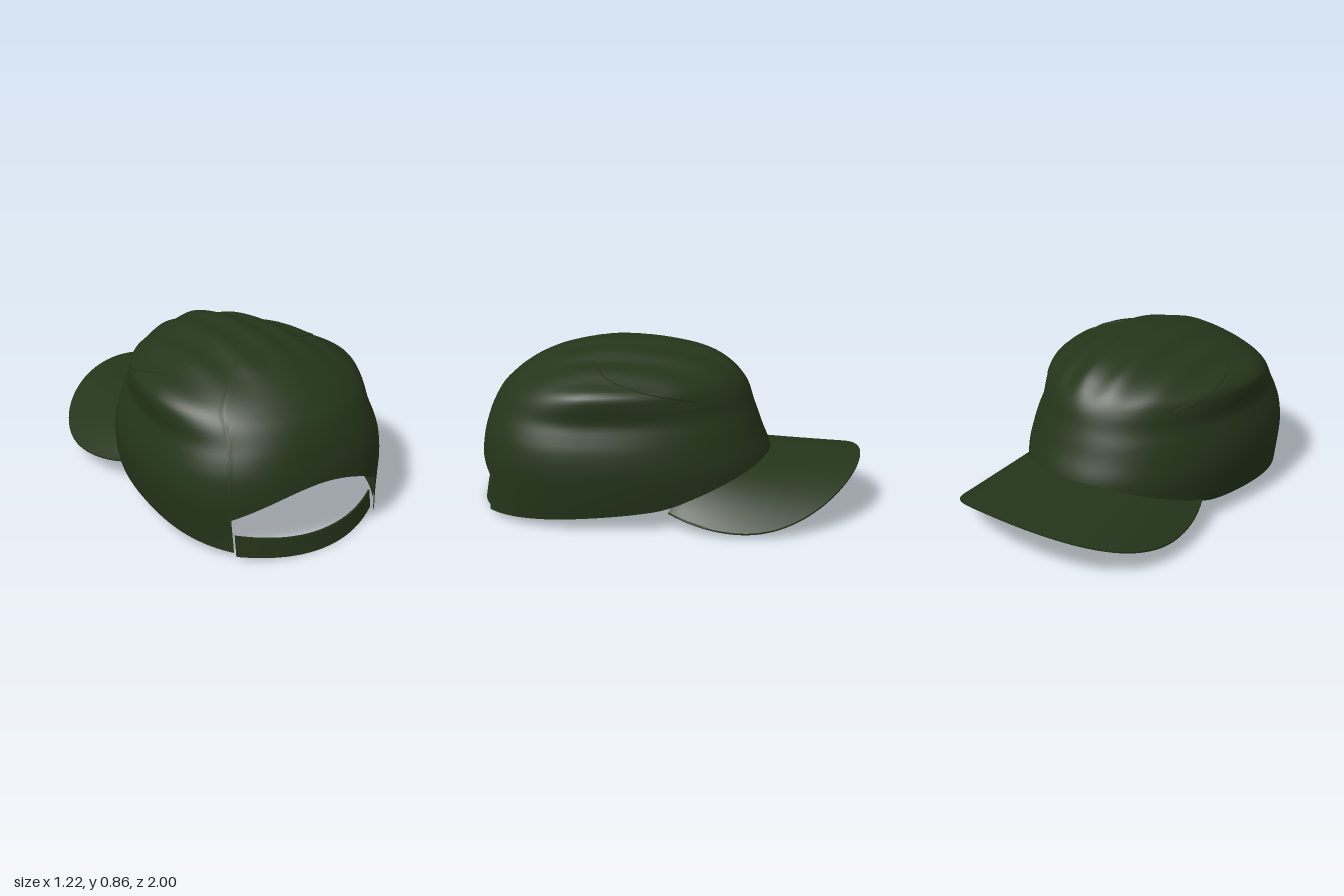
import * as THREE from 'three';
import { mergeVertices, toCreasedNormals } from 'three/addons/utils/BufferGeometryUtils.js';

const { lerp, clamp, smoothstep } = THREE.MathUtils;
const cloth = new THREE.MeshStandardMaterial({ color: 0x24351a, side: THREE.DoubleSide });

// Crown sections from bottom to top: height, half width, front z, back z
const SECTIONS = [
  [0, 0.56, -0.57, 1.02], [0.1, 0.58, -0.56, 1.0], [0.2, 0.595, -0.545, 0.99],
  [0.3, 0.603, -0.53, 0.985], [0.4, 0.592, -0.49, 0.97], [0.47, 0.572, -0.465, 0.95],
  [0.54, 0.553, -0.44, 0.925], [0.62, 0.562, -0.415, 0.88], [0.675, 0.553, -0.385, 0.825],
  [0.72, 0.49, -0.345, 0.77], [0.77, 0.375, -0.28, 0.69], [0.81, 0.27, -0.19, 0.6],
  [0.845, 0.16, -0.04, 0.45], [0.857, 0.08, 0.08, 0.32], [0.86, 0, 0.2, 0.2],
];
const LAST = SECTIONS.length - 1;

// Smooth interpolation of one column of the section table
function column(s, c) {
  const i = Math.min(Math.floor(s), LAST - 1), t = s - i;
  const at = (k) => SECTIONS[clamp(k, 0, LAST)][c];
  const a = at(i - 1), b = at(i), d = at(i + 1), e = at(i + 2);
  return b + 0.5 * t * (d - a + t * (2 * a - 5 * b + 4 * d - e + t * (3 * (b - d) + e - a)));
}

// Point on the crown: egg-shaped outline at section s, rounder towards the top,
// with soft folds on the roof
function crownPoint(angle, s, scale = 1) {
  const [y, w, front, back] = [0, 1, 2, 3].map((c) => column(s, c));
  const c = Math.cos(angle), n = Math.sin(angle);
  const p = 2 / lerp(n > 0 ? 2.3 : 2.15, 1.85, smoothstep(y, 0.45, 0.72));
  const zc = front + 0.6 * (back - front);
  const x = w * Math.sign(c) * Math.abs(c) ** p * scale;
  const z = zc + (n > 0 ? back - zc : zc - front) * Math.sign(n) * Math.abs(n) ** p * scale;
  const fold = Math.cos(2 * Math.PI * (x + 0.15) / 0.18) * 0.008
    * smoothstep(y, 0.6, 0.8) * smoothstep(-z, -0.75, -0.25);
  return new THREE.Vector3(x - 0.008, y + fold, z);
}

// Section index at a given height
function sectionAt(y) {
  let lo = 0, hi = LAST;
  for (let k = 0; k < 25; k++) {
    const m = (lo + hi) / 2;
    if (column(m, 0) < y) lo = m; else hi = m;
  }
  return lo;
}

// Lower edge of the crown, with the arched opening at the back
function rimHeight(angle) {
  const { x, z } = crownPoint(angle, 1.5);
  if (z > 0.4 && x > -0.45 && x < 0.37) return 0.35 - 0.15 * ((x + 0.04) / 0.41) ** 2;
  if (z > 0) return lerp(0.11, 0.025, Math.min(z / 0.9, 1) ** 0.8);
  return 0.11 + 0.175 * Math.min(-z / 0.53, 1) ** 1.1;
}
const rimSection = (angle, lift = 0) => sectionAt(rimHeight(angle) + lift);

// Surface from a rule over u, v in 0..1
function surface(nu, nv, rule) {
  const pos = [], index = [];
  for (let i = 0; i <= nu; i++) {
    for (let j = 0; j <= nv; j++) {
      pos.push(...rule(i / nu, j / nv).toArray());
      if (i < nu && j < nv) {
        const a = i * (nv + 1) + j, b = a + nv + 1;
        index.push(a, a + 1, b, b, a + 1, b + 1);
      }
    }
  }
  const g = new THREE.BufferGeometry();
  g.setAttribute('position', new THREE.Float32BufferAttribute(pos, 3));
  g.setIndex(index);
  const merged = mergeVertices(g, 1e-5);
  merged.computeVertexNormals();
  return merged;
}

// Closed slab: the rule gives its upper face, the lower face is offset
function slab(nu, nv, rule, offset) {
  const g = surface(nu, 2 * nv + 2, (u, t) => {
    const k = Math.round(t * (2 * nv + 2));
    if (k <= nv) return rule(u, k / nv);
    return rule(u, Math.max(0, (2 * nv + 1 - k) / nv)).add(k === 2 * nv + 2 ? new THREE.Vector3() : offset);
  });
  return toCreasedNormals(g, 0.7);
}

// Height of the curved-down visor at a given x
const visorHeight = (x) => 0.285 - (x > 0 ? 0.68 : 0.51) * x * x;

export function createModel() {
  const group = new THREE.Group();
  const add = (name, geometry) => {
    const mesh = new THREE.Mesh(geometry, cloth);
    mesh.name = name;
    group.add(mesh);
  };

  // Crown
  add('crown', surface(240, 48, (u, v) => {
    const angle = u * 2 * Math.PI;
    return crownPoint(angle, lerp(rimSection(angle), LAST, v));
  }));

  // Sweatband inside the lower edge, from one side of the opening round to the other
  add('sweatband', surface(100, 4, (u, v) => {
    const angle = lerp(Math.PI * 0.77, Math.PI * 2.24, u);
    return crownPoint(angle, rimSection(angle, 0.005 + 0.11 * v), 0.985);
  }));

  // Visor: from the crown's front edge out to a rounded outline
  add('visor', slab(80, 14, (u, v) => {
    const inAngle = lerp(Math.PI * 1.145, Math.PI * 1.855, u);
    const inner = crownPoint(inAngle, rimSection(inAngle, 0.01), 0.985);
    const a = lerp(Math.PI * 1.17, -Math.PI * 0.17, u);
    const n = Math.sin(a);
    const x = 0.608 * Math.cos(a), z = -0.4 - (n > 0 ? 0.6 : 0.72) * n;
    const p = new THREE.Vector3(lerp(inner.x, x, v), 0, lerp(inner.z, z, v));
    p.y = visorHeight(p.x) + (inner.y - visorHeight(inner.x)) * (1 - v);
    return p;
  }, new THREE.Vector3(0, -0.008, 0)));

  // Strap across the back opening
  add('strap', slab(40, 4, (u, v) => {
    const x = lerp(-0.44, 0.37, u), k = ((x + 0.04) / 0.41) ** 2;
    const low = 0.003 + 0.027 * k, high = 0.095 + (x < 0 ? 0.04 : 0.02) * k;
    return new THREE.Vector3(x, lerp(low, high, v), 1.0 - 0.135 * k - 0.015 * v);
  }, new THREE.Vector3(0, 0, -0.01)));

  // Slanting seams on both sides of the roof
  for (const side of [1, -1]) {
    const seam = [];
    for (let i = 0; i <= 12; i++) {
      const a = lerp(0.25, -0.75, i / 12);
      seam.push(crownPoint(side > 0 ? a : Math.PI - a, sectionAt(lerp(0.8, 0.63, i / 12))));
    }
    add(side > 0 ? 'leftSeam' : 'rightSeam',
      new THREE.TubeGeometry(new THREE.CatmullRomCurve3(seam), 40, 0.004, 5));
  }

  return group;
}
